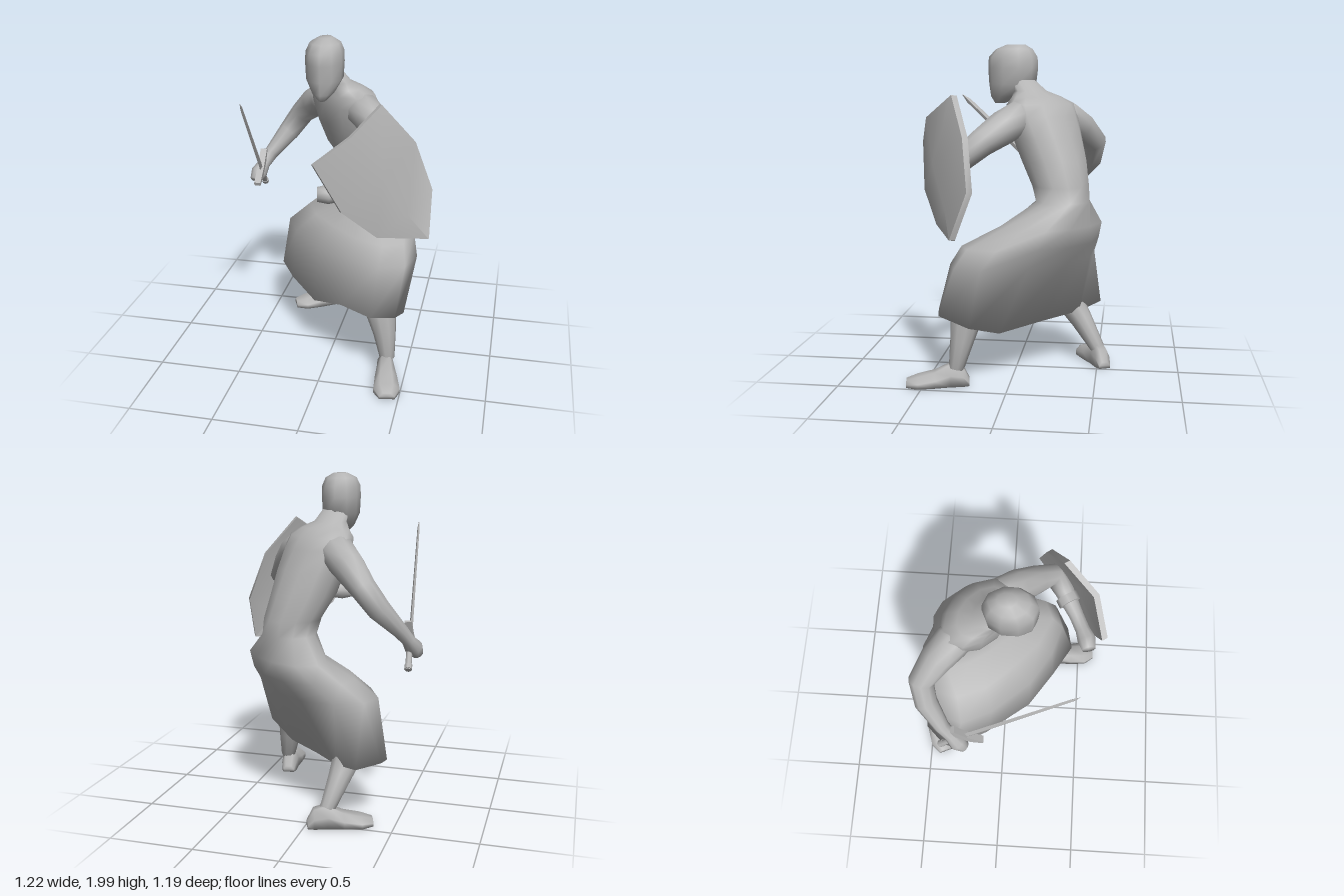
import * as THREE from 'three';
import { toCreasedNormals } from 'three/addons/utils/BufferGeometryUtils.js';

const V = (x, y, z) => new THREE.Vector3(x, y, z);
const grey = new THREE.MeshStandardMaterial({ color: 0xb4b4b4, side: THREE.DoubleSide });
grey.name = 'plain grey';

// Skin over closed rings of equal point count, optionally capped at each end
function loft(rings, capStart = true, capEnd = true) {
  const n = rings[0].length, pos = [], idx = [];
  rings.forEach(r => r.forEach(p => pos.push(p.x, p.y, p.z)));
  for (let i = 0; i < rings.length - 1; i++) {
    for (let j = 0; j < n; j++) {
      const k = (j + 1) % n, a = i * n + j, b = i * n + k;
      idx.push(a, b, b + n, a, b + n, a + n);
    }
  }
  const cap = (r, flip) => {
    const c = rings[r].reduce((s, p) => s.add(p), V(0, 0, 0)).divideScalar(n);
    const m = pos.length / 3;
    pos.push(c.x, c.y, c.z);
    for (let j = 0; j < n; j++) {
      const a = r * n + j, b = r * n + (j + 1) % n;
      flip ? idx.push(m, b, a) : idx.push(m, a, b);
    }
  };
  if (capStart) cap(0, true);
  if (capEnd) cap(rings.length - 1, false);
  const g = new THREE.BufferGeometry();
  g.setAttribute('position', new THREE.Float32BufferAttribute(pos, 3));
  g.setIndex(idx);
  g.computeVertexNormals();
  return g;
}

// Ellipse ring: centre, two half-axis vectors, first angle
function ring(c, a, b, n, start = 0) {
  return Array.from({ length: n }, (_, i) => {
    const t = start + i / n * Math.PI * 2;
    return c.clone().addScaledVector(a, Math.cos(t)).addScaledVector(b, Math.sin(t));
  });
}

// Round limb along a path of [x, y, z, radius]
function limb(path, n = 10) {
  const pts = path.map(p => V(p[0], p[1], p[2]));
  return loft(pts.map((p, i) => {
    const d = pts[Math.min(i + 1, pts.length - 1)].clone().sub(pts[Math.max(i - 1, 0)]).normalize();
    const a = V(0.3, 0.2, 1).cross(d).normalize();
    const b = d.clone().cross(a);
    return ring(p, a.multiplyScalar(path[i][3]), b.multiplyScalar(path[i][3]), n);
  }));
}

// Foot lofted from heel to toe: [distance, half width, height]
function foot(heel, toe) {
  const dir = toe.clone().sub(heel), len = dir.length();
  dir.normalize();
  const side = V(0, 1, 0).cross(dir);
  const rows = [[0, 0.035, 0.05], [0.1, 0.048, 0.12], [0.3, 0.052, 0.14], [0.55, 0.068, 0.095], [0.82, 0.078, 0.07], [1, 0.045, 0.05]];
  return loft(rows.map(([t, w, h]) =>
    [[-1, 0.01], [1, 0.01], [1, h * 0.55], [0.5, h], [-0.5, h], [-1, h * 0.55]].map(([s, y]) =>
      heel.clone().addScaledVector(dir, t * len).addScaledVector(side, s * w).setY(y))));
}

export function createModel() {
  const model = new THREE.Group();
  const add = (name, geo, parent = model) => {
    const m = new THREE.Mesh(geo, grey);
    m.name = name;
    parent.add(m);
    return m;
  };

  // Robe: closed uneven hem, bent knees and hips, then oval sections up to the neck
  const hem = [[.3, .44, .43], [.44, .44, .4], [.47, .38, .22], [.28, .3, .07], [.04, .32, -.17], [-.14, .34, -.38],
    [-.29, .37, -.51], [-.41, .38, -.39], [-.43, .38, -.32], [-.31, .38, -.11], [-.1, .37, .16], [.1, .44, .31]].map(p => V(...p));
  const level = (y, pts) => pts.map(([x, z]) => V(x, y, z));
  const knees = level(.73, [[.33, .35], [.48, .3], [.53, .14], [.4, -.12], [.22, -.33], [.05, -.45],
    [-.15, -.47], [-.31, -.4], [-.36, -.26], [-.27, -.07], [-.07, .16], [.14, .29]]);
  const thighs = level(.84, [[.34, .28], [.46, .23], [.5, .06], [.44, -.17], [.31, -.35], [.15, -.465],
    [-.04, -.5], [-.19, -.44], [-.23, -.29], [-.15, -.11], [0, .05], [.16, .2]]);
  const hips = level(.95, [[.27, .06], [.36, .03], [.43, -.09], [.445, -.22], [.35, -.355], [.22, -.46],
    [.06, -.52], [-.06, -.47], [-.08, -.36], [-.03, -.22], [.06, -.09], [.16, .02]]);
  // Torso sections: x, y, z, half width across shoulders, half depth
  const torso = [[.165, 1.09, -.295, .17, .155], [.15, 1.18, -.28, .178, .165], [.095, 1.32, -.237, .205, .188],
    [.06, 1.46, -.192, .23, .188], [.03, 1.58, -.16, .25, .172], [.015, 1.65, -.145, .242, .15],
    [0, 1.69, -.12, .175, .12], [-.02, 1.725, -.08, .105, .092], [-.04, 1.79, -.025, .08, .08]]
    .map(([x, y, z, w, d]) => ring(V(x, y, z), V(.78 * w, 0, .62 * w), V(.62 * d, 0, -.78 * d), 12, -Math.PI / 6));
  add('robe', loft([hem, knees, thighs, hips, ...torso]));

  // Head: y, z centre, half width, half depth
  const headRows = [[1.65, .11, .022, .03], [1.69, .075, .065, .09], [1.765, .033, .107, .143], [1.86, .03, .112, .152],
    [1.925, .03, .11, .148], [1.972, .023, .09, .112], [2, .012, .04, .055]];
  add('head', loft(headRows.map(([y, z, w, d]) => ring(V(-.055, y, z), V(0, 0, d), V(w, 0, 0), 10))));

  // Arms with closed hands
  add('rightArm', limb([[-.02, 1.56, -.19, .09], [-.13, 1.56, -.29, .105], [-.21, 1.5, -.37, .095], [-.315, 1.4, -.455, .075],
    [-.4, 1.28, -.43, .067], [-.5, 1.15, -.34, .045], [-.535, 1.09, -.29, .038], [-.56, 1.04, -.25, .053], [-.575, 1.0, -.21, .035]]));
  add('leftArm', limb([[.06, 1.55, -.12, .08], [.17, 1.565, -.02, .105], [.24, 1.52, .05, .1], [.33, 1.44, .16, .082], [.41, 1.35, .26, .068],
    [.34, 1.28, .33, .06], [.2, 1.24, .41, .045], [.12, 1.22, .45, .045], [.06, 1.22, .475, .056], [.0, 1.22, .49, .042]]));

  // Legs and feet
  add('leftLeg', limb([[.3, .62, .2, .11], [.33, .43, .255, .1], [.365, .27, .28, .07], [.39, .11, .31, .045]]));
  add('rightLeg', limb([[-.22, .6, -.24, .1], [-.2, .4, -.31, .09], [-.165, .27, -.4, .068], [-.12, .11, -.5, .045]]));
  add('leftFoot', foot(V(.365, 0, .235), V(.435, 0, .6)));
  add('rightFoot', foot(V(-.015, 0, -.55), V(-.365, 0, -.4)));

  // Sword, built upright at the origin then swung from pommel to tip
  const sword = new THREE.Group();
  sword.name = 'sword';
  const start = V(-.55, .95, -.35), tip = V(-.45, 1.69, .42);
  const along = tip.clone().sub(start), length = along.length();
  along.normalize();
  const cross = V(0, .72, -.69).addScaledVector(along, -V(0, .72, -.69).dot(along)).normalize();
  sword.quaternion.setFromRotationMatrix(new THREE.Matrix4().makeBasis(cross, along, cross.clone().cross(along)));
  sword.position.copy(start);
  const diamond = (y, w, t) => ring(V(0, y, 0), V(0, 0, t), V(w, 0, 0), 4);
  add('blade', toCreasedNormals(loft([diamond(.2, .025, .01), diamond(length - .06, .016, .007), diamond(length, .001, .001)]), .5), sword);
  add('grip', new THREE.CylinderGeometry(.018, .018, .24, 8).translate(0, .1, 0), sword);
  add('pommel', new THREE.CylinderGeometry(.022, .022, .03, 8), sword);
  const guard = new THREE.Shape([[-.13, .015], [-.06, -.02], [.06, -.02], [.13, .015], [.12, .035], [0, .02], [-.12, .035]]
    .map(p => new THREE.Vector2(...p)));
  add('guard', new THREE.ExtrudeGeometry(guard, { depth: .04, bevelEnabled: false }).translate(0, .2, -.02), sword);
  model.add(sword);

  // Shield: plate folded along its middle, with a straight top edge and pointed foot
  const out = V(.5, .14, .86).normalize();
  const edge = [[[0, 1.42, .58], [.33, 1.71, .335]], [[.15, 1.14, .54], [.51, 1.48, .24]],
    [[.33, .96, .43], [.61, 1.19, .2]], [[.608, .922, .3], [.612, .925, .298]]];
  const rows = edge.map(([a, b], i) => {
    const A = V(...a), B = V(...b);
    const middle = A.clone().lerp(B, .5).addScaledVector(out, [.065, .06, .04, 0][i]);
    const front = [A, middle, B];
    return [...front, ...front.map(p => p.clone().addScaledVector(out, -.035)).reverse()];
  }).reverse();
  add('shield', toCreasedNormals(loft(rows, true, false), .7));
  // Strips closing the top edge between the two faces
  const top = rows[rows.length - 1];
  const rim = [0, 1].flatMap(i => [top[i], top[i + 1], top[4 - i], top[i], top[4 - i], top[5 - i]]);
  const rimGeo = new THREE.BufferGeometry().setFromPoints(rim);
  rimGeo.computeVertexNormals();
  add('shieldTopEdge', rimGeo);

  // Strap round the forearm behind the shield
  const strap = add('shieldStrap', new THREE.CylinderGeometry(.068, .068, .05, 8));
  strap.position.set(.29, 1.27, .355);
  strap.quaternion.setFromUnitVectors(V(0, 1, 0), V(-.83, -.2, .5).normalize());

  return model;
}
